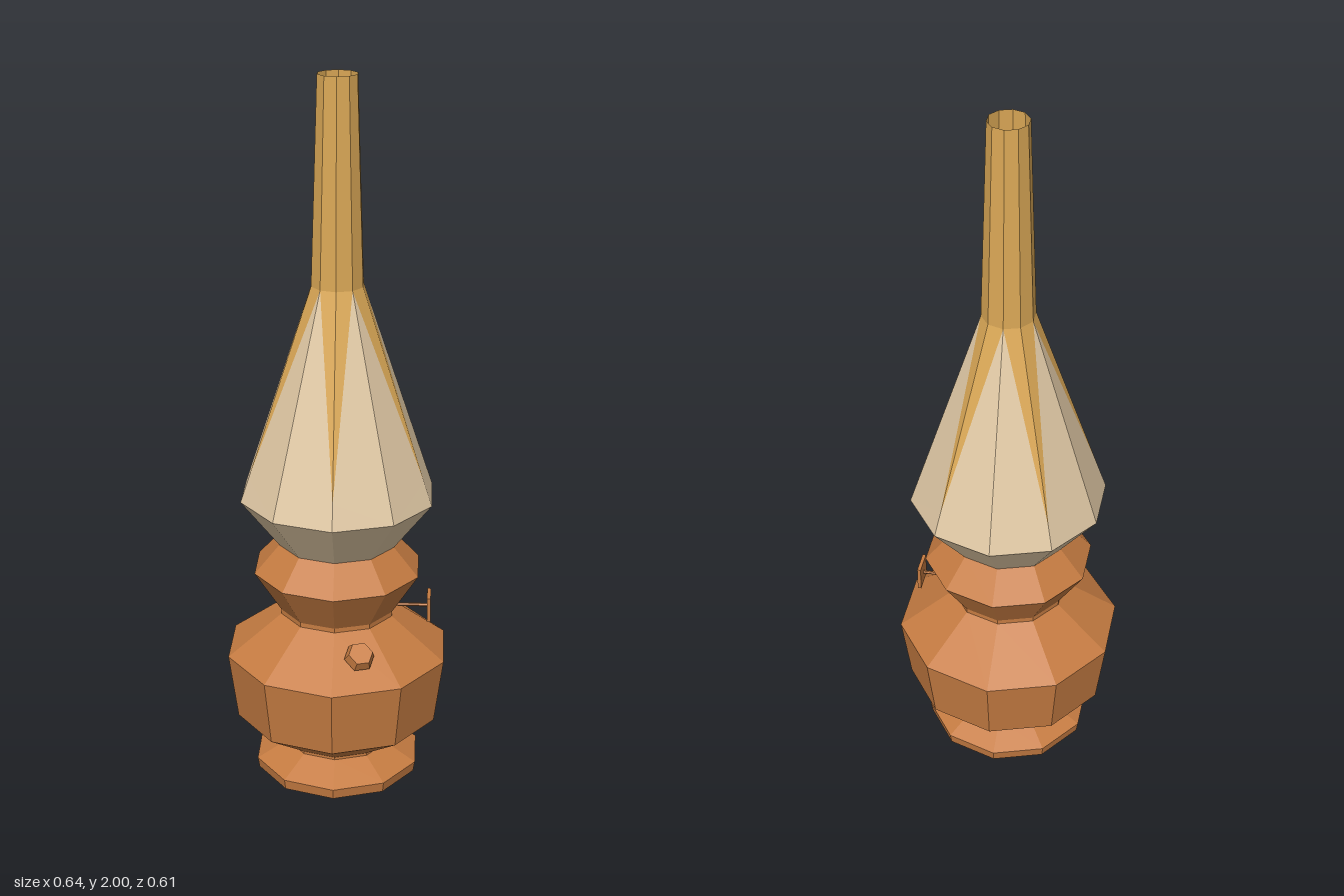
import * as THREE from 'three';

const SIDES = 10;
const STEP = (Math.PI * 2) / SIDES;

function material(name, color, extra = {}) {
  const m = new THREE.MeshStandardMaterial({ color, flatShading: true, ...extra });
  m.name = name;
  return m;
}

function mesh(name, geometry, mat) {
  const m = new THREE.Mesh(geometry, mat);
  m.name = name;
  return m;
}

// Ten-sided turned shape with a corner on the x axis
function turned(profile) {
  return new THREE.LatheGeometry(profile.map(([r, y]) => new THREE.Vector2(r, y)), SIDES, Math.PI / 2);
}

function ringPoint(r, y, i) {
  return [r * Math.cos(i * STEP), y, r * Math.sin(i * STEP)];
}

// Tapered shade: gold tongues run down every second ridge, glass fills the rest
function shadeGeometry(bottom, top, tip) {
  const gold = [], glass = [];
  for (let i = 1; i < SIDES; i += 2) {
    for (const side of [1, -1]) {
      const j = i + side;
      const T = ringPoint(...top, i), P = ringPoint(...tip, i), B = ringPoint(...bottom, i);
      const TV = ringPoint(...top, j), BV = ringPoint(...bottom, j);
      const add = (list, a, b, c) => list.push(...(side > 0 ? [a, b, c] : [a, c, b]).flat());
      add(gold, T, TV, P);
      add(glass, P, TV, BV);
      add(glass, P, BV, B);
    }
  }
  const g = new THREE.BufferGeometry();
  g.setAttribute('position', new THREE.Float32BufferAttribute([...gold, ...glass], 3));
  g.addGroup(0, gold.length / 3, 0);
  g.addGroup(gold.length / 3, glass.length / 3, 1);
  g.computeVertexNormals();
  return g;
}

export function createModel() {
  const root = new THREE.Group();
  root.name = 'oilLamp';
  const copper = material('copper', 0xc67c42);
  const glass = material('creamGlass', 0xe2caa6, { side: THREE.DoubleSide });
  const gold = material('amberGlass', 0xdba856, { side: THREE.DoubleSide });
  const dark = material('darkBrown', 0x6a4236);

  // Foot, oil reservoir, waist and burner collar
  root.add(mesh('base', turned([
    [0.12, 0.03], [0.2, 0], [0.235, 0], [0.24, 0.03], [0.152, 0.076], [0.152, 0.084],
    [0.294, 0.18], [0.32, 0.37], [0.164, 0.487], [0.164, 0.5], [0.24, 0.62], [0.168, 0.7],
  ]), copper));

  // Dark floors under the foot and inside the shade
  const underside = mesh('underside', new THREE.CircleGeometry(0.12, SIDES), dark);
  underside.rotation.x = Math.PI / 2;
  underside.position.y = 0.03;
  const burner = mesh('burnerFloor', new THREE.CircleGeometry(0.168, SIDES), dark);
  burner.rotation.x = -Math.PI / 2;
  burner.position.y = 0.7;
  root.add(underside, burner);

  // Glass shade and open chimney
  root.add(mesh('shadeBowl', turned([[0.168, 0.7], [0.276, 0.84]]), glass));
  root.add(mesh('shade', shadeGeometry([0.276, 0.84], [0.073, 1.44], [0.252, 0.91]), [gold, glass]));
  root.add(mesh('chimney', turned([[0.073, 1.44], [0.055, 2]]), gold));

  // Hexagonal filler cap on the sloping front shoulder
  const cap = new THREE.Group();
  cap.name = 'fillerCap';
  const lid = mesh('fillerLid', new THREE.CylinderGeometry(0.034, 0.043, 0.026, 6, 1, false, Math.PI / 2), copper);
  const neck = mesh('fillerNeck', new THREE.CylinderGeometry(0.03, 0.03, 0.03, 6, 1, false, Math.PI / 2), copper);
  neck.position.y = -0.018;
  cap.add(lid, neck);
  cap.position.set(0, 0.452, 0.238);
  cap.rotation.x = 0.68;
  root.add(cap);

  // Wick key: thin shaft and square plate, square to one facet
  const key = new THREE.Group();
  key.name = 'wickKey';
  const shaft = mesh('keyShaft', new THREE.CylinderGeometry(0.005, 0.005, 0.13, 6), copper);
  shaft.rotation.z = Math.PI / 2;
  shaft.position.x = 0.195;
  const plate = mesh('keyPlate', new THREE.BoxGeometry(0.01, 0.07, 0.07), copper);
  plate.position.x = 0.26;
  key.add(shaft, plate);
  key.position.y = 0.5;
  key.rotation.y = -STEP / 2;
  root.add(key);

  return root;
}
